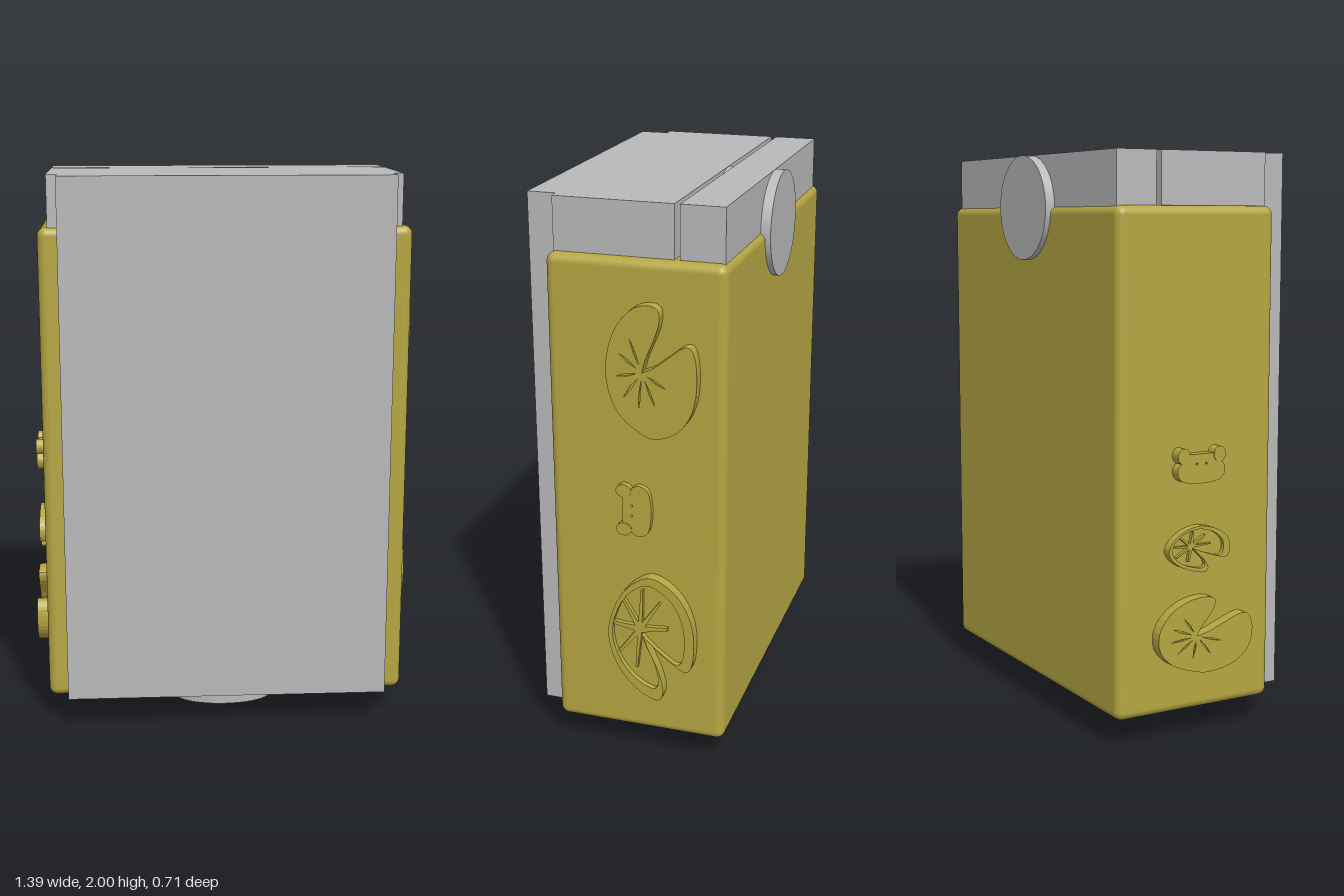
import * as THREE from 'three';
import { RoundedBoxGeometry } from 'three/addons/geometries/RoundedBoxGeometry.js';

const brass = new THREE.MeshStandardMaterial({ color: 0xb5a642 });
brass.name = 'brass yellow';
const silver = new THREE.MeshStandardMaterial({ color: 0xb9b9b9 });
silver.name = 'silver grey';

// Leaf outlines in a unit square; the first point is the sharp bottom of the notch
const FLAT_LEAF = [
  [-.09, 0], [-.05, .1], [.09, .34], [.1, .46], [.03, .5], [-.16, .48], [-.36, .34], [-.48, .1],
  [-.47, -.14], [-.34, -.34], [-.12, -.46], [.03, -.5], [.28, -.44], [.43, -.31], [.5, -.14],
  [.5, .1], [.45, .21], [.38, .22], [.2, .13], [.03, .04],
];
const RIMMED_LEAF = [
  [-.09, .02], [.03, -.06], [.22, -.16], [.4, -.23], [.46, -.2], [.5, -.04], [.48, .15], [.36, .34],
  [.17, .46], [-.03, .5], [-.28, .39], [-.43, .22], [-.5, .04], [-.47, -.13], [-.33, -.32],
  [-.1, -.46], [.09, -.5], [.14, -.43], [.09, -.26], [-.02, -.1],
];

function mesh(name, geometry, material, x = 0, y = 0, z = 0) {
  const m = new THREE.Mesh(geometry, material);
  m.name = name;
  m.position.set(x, y, z);
  return m;
}

function box(name, x0, x1, y0, y1, z0, z1) {
  return mesh(name, new THREE.BoxGeometry(x1 - x0, y1 - y0, z1 - z0), silver,
    (x0 + x1) / 2, (y0 + y1) / 2, (z0 + z1) / 2);
}

function extrude(shape, from, to) {
  const g = new THREE.ExtrudeGeometry(shape, { depth: to - from, bevelEnabled: false, curveSegments: 10 });
  return g.translate(0, 0, from);
}

// Smooth closed outline with one sharp corner, optionally shrunk towards a point
function leafPath(points, w, h, PathType = THREE.Shape, s = 1, cx = 0, cy = 0) {
  const p = points.map(([u, v]) => new THREE.Vector2((cx + (u - cx) * s) * w, (cy + (v - cy) * s) * h));
  const path = new PathType();
  path.moveTo(p[0].x, p[0].y);
  const curve = new THREE.CatmullRomCurve3(
    [...p, p[0]].map((q) => new THREE.Vector3(q.x, q.y, 0)), false, 'centripetal');
  curve.getPoints(60).slice(1, -1).forEach((q) => path.lineTo(q.x, q.y));
  path.closePath();
  return path;
}

// Leaf with thin veins cut into its top layer
function flatLeaf(name, w, h, depth) {
  const group = new THREE.Group();
  group.name = name;
  group.add(mesh('leafBase', extrude(leafPath(FLAT_LEAF, w, h), -.01, depth - .006), brass));
  const top = leafPath(FLAT_LEAF, w, h);
  for (const deg of [118, 152, 188, 224, 262, 300, 338]) {
    const a = deg * Math.PI / 180, c = Math.cos(a), s = Math.sin(a);
    const at = (r, t) => new THREE.Vector2((-.09 + c * r - s * t) * w, (s * r + c * t) * h);
    const vein = new THREE.Path();
    vein.setFromPoints([at(.06, 0), at(.17, .011), at(.29, 0), at(.17, -.011)]);
    vein.closePath();
    top.holes.push(vein);
  }
  group.add(mesh('veinedFace', extrude(top, depth - .006, depth), brass));
  return group;
}

// Leaf with a raised rim around a recess crossed by raised ribs
function rimmedLeaf(name, w, h, depth) {
  const group = new THREE.Group();
  group.name = name;
  group.add(mesh('leafBase', extrude(leafPath(RIMMED_LEAF, w, h), -.01, depth * .5), brass));
  const rim = leafPath(RIMMED_LEAF, w, h);
  rim.holes.push(leafPath(RIMMED_LEAF, w, h, THREE.Path, .84, -.19, .1));
  group.add(mesh('leafRim', extrude(rim, depth * .5, depth), brass));
  for (const deg of [5, 45, 85, 130, 175, 220, 262]) {
    const a = deg * Math.PI / 180, c = Math.cos(a), s = Math.sin(a);
    const at = (r, t) => new THREE.Vector2((-.13 + c * r - s * t) * w, (.07 + s * r + c * t) * h);
    const rib = new THREE.Shape([at(0, -.025), at(.32, -.012), at(.32, .012), at(0, .025)]);
    group.add(mesh('leafRib', extrude(rib, depth * .5, depth * .9), brass));
  }
  return group;
}

// Small frog head: wide face, two round eyes and two nostrils
function frog(name, w, h, depth) {
  const group = new THREE.Group();
  group.name = name;
  const face = new THREE.Shape();
  face.moveTo(-.3 * w, .32 * h);
  face.lineTo(.3 * w, .32 * h);
  face.lineTo(.32 * w, .1 * h);
  face.bezierCurveTo(.56 * w, .1 * h, .56 * w, -.4 * h, .3 * w, -.46 * h);
  face.quadraticCurveTo(0, -.54 * h, -.3 * w, -.46 * h);
  face.bezierCurveTo(-.56 * w, -.4 * h, -.56 * w, .1 * h, -.32 * w, .1 * h);
  face.closePath();
  for (const side of [-1, 1]) {
    const nostril = new THREE.Path();
    nostril.absarc(side * .1 * w, .05 * h, .02 * w, 0, Math.PI * 2);
    face.holes.push(nostril);
    const eye = new THREE.Shape();
    eye.absellipse(side * .375 * w, .28 * h, .125 * w, .22 * h, 0, Math.PI * 2);
    group.add(mesh('frogEye', extrude(eye, -.01, depth), brass));
  }
  group.add(mesh('frogFace', extrude(face, -.01, depth * .92), brass));
  return group;
}

export function createModel() {
  const model = new THREE.Group();
  model.name = 'lighter';

  // Case
  model.add(mesh('case', new RoundedBoxGeometry(1.306, 1.72, .615, 4, .03), brass, -.002, .96, -.033));

  // Inner body: two blocks with a slit between them, and the front panel
  model.add(
    box('rearBlock', -.62, .615, 1.5, 2, -.325, -.175),
    box('mainBlock', -.62, .615, 1.5, 2, -.157, .255),
    box('frontPanel', -.582, .578, .12, 2, .25, .355),
  );

  // Round wheel through the back and knob underneath
  const wheel = mesh('backWheel', new THREE.CylinderGeometry(.184, .184, .205, 48), silver, 0, 1.815, -.2575);
  wheel.rotation.x = Math.PI / 2;
  const knob = mesh('bottomKnob', new THREE.CylinderGeometry(.184, .184, .14, 48), silver, 0, .07, .045);
  knob.scale.z = .57;
  model.add(wheel, knob);

  // Reliefs on the two sides
  const place = (part, side, y, z, turn = 0) => {
    const holder = new THREE.Group();
    holder.name = part.name + 'Mount';
    holder.position.set(side > 0 ? .651 : -.655, y, z);
    holder.rotation.y = side * Math.PI / 2;
    part.rotation.z = turn;
    holder.add(part);
    model.add(holder);
  };
  place(flatLeaf('leftUpperLeaf', .31, .452, .04), 1, 1.458, -.096);
  place(frog('leftFrog', .187, .125, .022), 1, .957, -.027, Math.PI / 2);
  place(rimmedLeaf('leftLowerLeaf', .31, .473, .04), 1, .486, -.09);
  place(frog('rightFrog', .19, .123, .038), -1, .958, -.036);
  place(rimmedLeaf('rightSmallLeaf', .245, .16, .032), -1, .67, -.038);
  place(flatLeaf('rightLargeLeaf', .38, .265, .043), -1, .372, -.02);
  return model;
}
